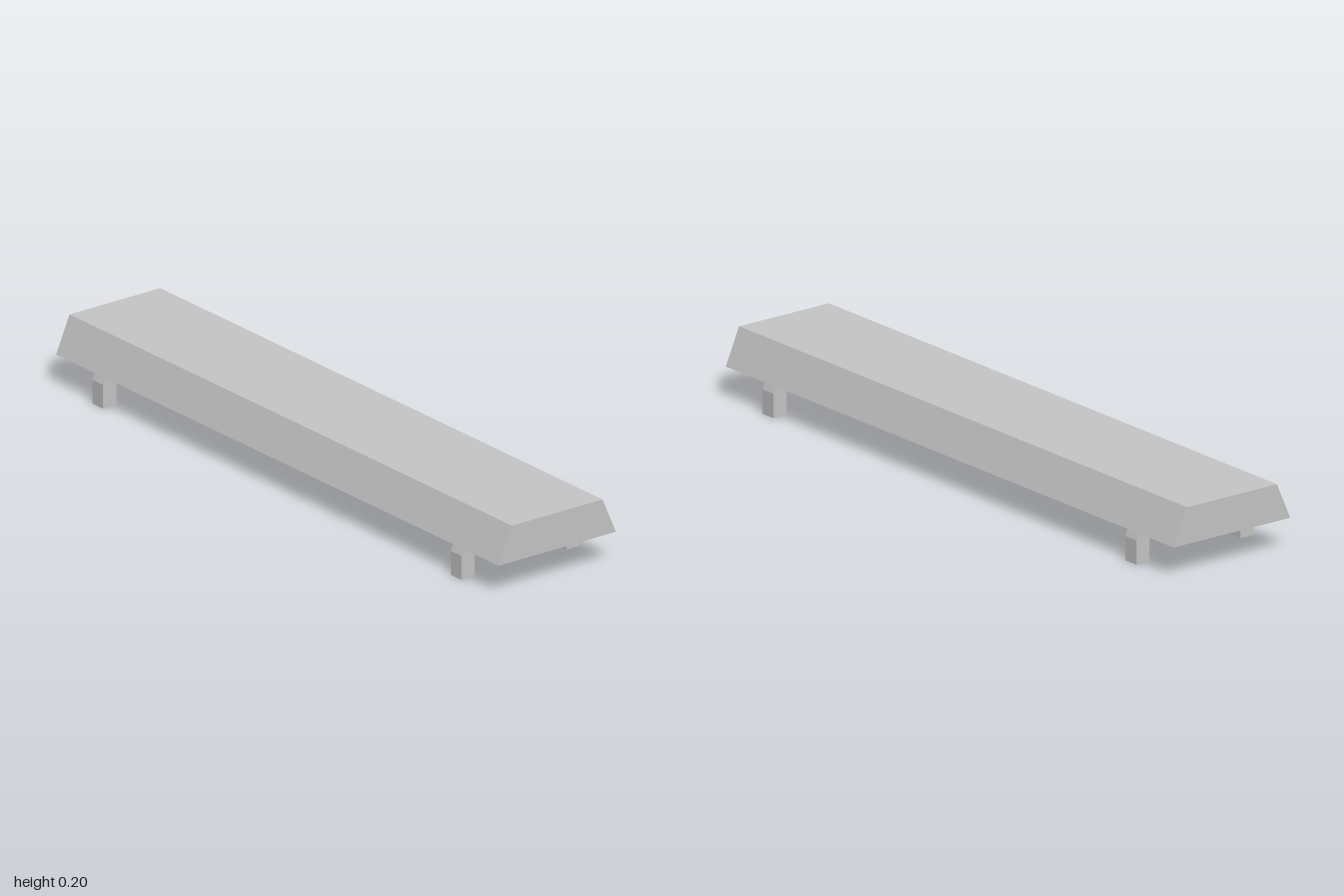
import * as THREE from 'three';
import { mergeGeometries } from 'three/addons/utils/BufferGeometryUtils.js';

const toShape = pts => new THREE.Shape(pts.map(p => new THREE.Vector2(p[0], p[1])));

// Flat-sided solid along z from an x-symmetric, counter-clockwise outline,
// leaving out the side faces for which skip(a, b) is true
function openPrism(pts, depth, skip) {
  const h = depth / 2;
  const front = new THREE.ShapeGeometry(toShape(pts)).translate(0, 0, h);
  const back = front.clone().rotateY(Math.PI);
  const pos = [];
  pts.forEach((a, i) => {
    const b = pts[(i + 1) % pts.length];
    if (skip(a, b)) return;
    pos.push(...a, h, ...a, -h, ...b, -h, ...a, h, ...b, -h, ...b, h);
  });
  const sides = new THREE.BufferGeometry();
  sides.setAttribute('position', new THREE.Float32BufferAttribute(pos, 3));
  sides.computeVertexNormals();
  const caps = [front, back].map(g => {
    const n = g.toNonIndexed();
    n.deleteAttribute('uv');
    return n;
  });
  return mergeGeometries([...caps, sides]);
}

export function createModel() {
  const group = new THREE.Group();
  const grey = new THREE.MeshStandardMaterial({ color: 0xc4c4c4, flatShading: true, side: THREE.DoubleSide });
  grey.name = 'light grey';

  // The whole piece is turned very slightly about the vertical
  const bench = new THREE.Group();
  bench.name = 'bench';
  bench.rotation.y = 0.0163;
  group.add(bench);

  // Long slab with sloping sides
  const length = 1.993;
  const slabOutline = [[-0.206, 0.094], [0.206, 0.094], [0.159, 0.202], [-0.159, 0.202]];
  const slab = new THREE.Mesh(openPrism(slabOutline, length, () => false), grey);
  slab.name = 'slab';
  bench.add(slab);

  // Two bridge-shaped leg frames, hollow and open under the feet
  const half = [[0.161, 0.071], [0.161, 0], [0.207, 0], [0.207, 0.071], [0.198, 0.094]];
  const mirrored = half.map(([x, y]) => [-x, y]).reverse();
  const frameGeometry = openPrism([...half, ...mirrored], 0.048,
    (a, b) => a[1] === b[1] && a[1] !== 0.071);
  for (const s of [1, -1]) {
    const frame = new THREE.Mesh(frameGeometry, grey);
    frame.name = s > 0 ? 'frontLegFrame' : 'backLegFrame';
    frame.position.z = 0.807 * s;
    bench.add(frame);
  }
  return group;
}
